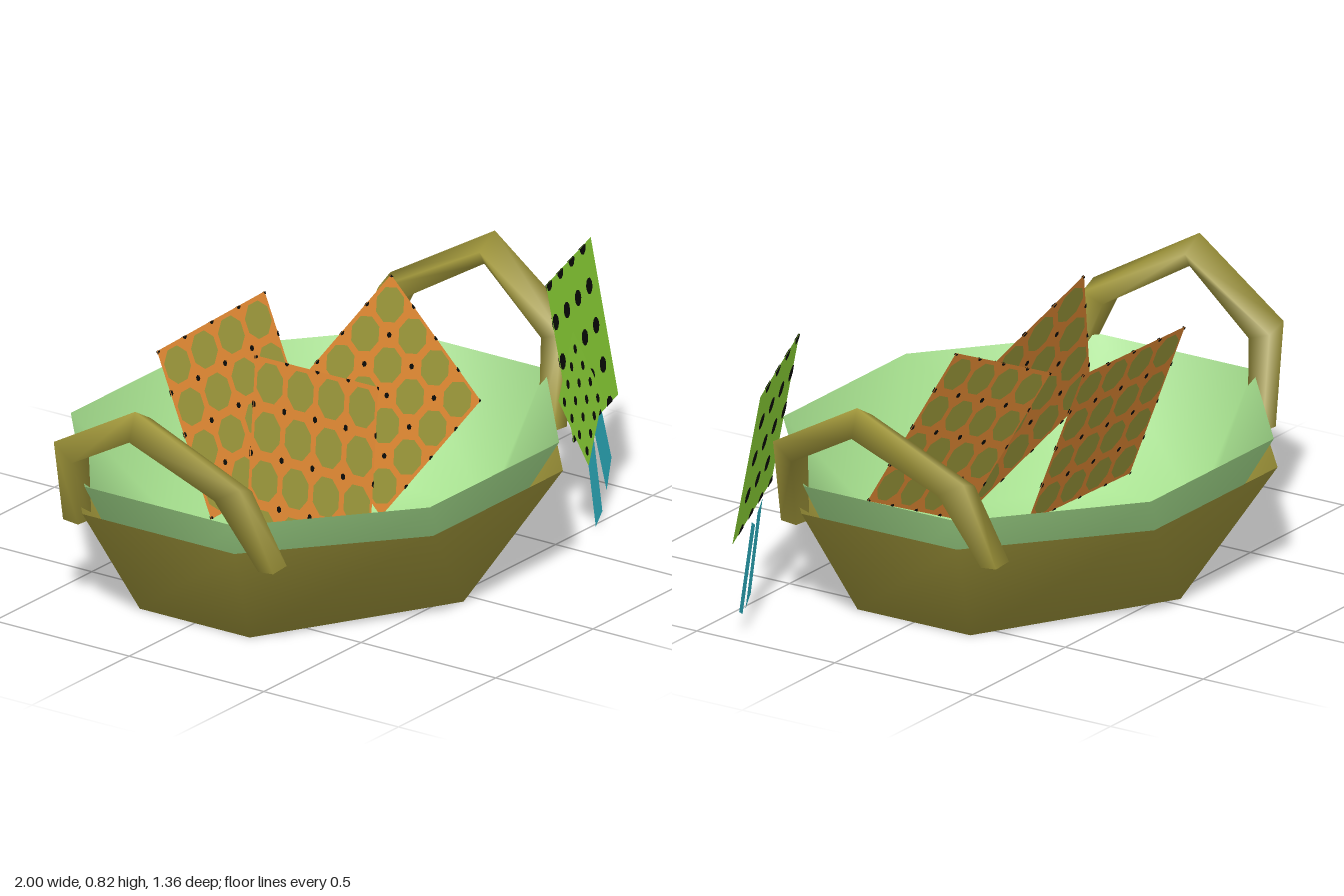
import * as THREE from 'three';
import { mergeGeometries, mergeVertices } from 'three/addons/utils/BufferGeometryUtils.js';

const CX = -0.045; // centre line of the basket

function paint(name, color) {
  const m = new THREE.MeshStandardMaterial({ color, side: THREE.DoubleSide });
  m.name = name;
  return m;
}

const olive = paint('olive wicker', 0xa0963a);
const mint = paint('mint lining', 0xa6e08e);
const orange = paint('orange cloth', 0xec9036);
const moss = paint('moss print', 0x9f9b3c);
const green = paint('green cloth', 0x90da38);
const black = paint('black print', 0x0a0a08);
const teal = paint('teal ribbon', 0x32c0d2);

function part(name, geometry, material) {
  const mesh = new THREE.Mesh(geometry, material);
  mesh.name = name;
  return mesh;
}

// Smooth skin over rows of points, each row a closed loop
function loft(rows) {
  const n = rows[0].length, index = [];
  for (let i = 0; i < rows.length - 1; i++) {
    for (let j = 0; j < n; j++) {
      const k = (j + 1) % n;
      const a = i * n + j, b = i * n + k, c = a + n, d = b + n;
      index.push(a, c, b, b, c, d);
    }
  }
  const g = new THREE.BufferGeometry();
  g.setAttribute('position', new THREE.Float32BufferAttribute(rows.flat(2), 3));
  g.setIndex(index);
  const welded = mergeVertices(g);
  welded.computeVertexNormals();
  return welded;
}

// Eight-point ring; fx and fz set how wide the end and side edges are
function ring(hx, y, hz, fx = 0.414, fz = 0.414) {
  const quarter = [[1, fz], [fx, 1], [-fx, 1], [-1, fz]];
  return [...quarter, ...quarter.map(([x, z]) => [-x, -z])]
    .map(([x, z]) => [CX + x * hx, y, z * hz]);
}

// The base narrows to a point at front and back
const baseRing = (hx, y, hz) => ring(hx, y, hz, 0, 0.37);

// Arched handle: square section swept foot - elbow - apex - elbow - foot
function handle(side) {
  const apex = [[-1, 0.69, 0], [-0.97, 0.78, 0], [-0.89, 0.735, 0], [-0.915, 0.69, 0]];
  const elbow = [[-0.93, 0.54, 0.265], [-0.91, 0.585, 0.345], [-0.84, 0.56, 0.34], [-0.84, 0.535, 0.265]];
  const foot = [[-0.8, 0.285, 0.335], [-0.8, 0.29, 0.39], [-0.73, 0.295, 0.39], [-0.73, 0.28, 0.335]];
  const back = row => row.map(([x, y, z]) => [x, y, -z]);
  const rows = [foot, elbow, apex, back(elbow), back(foot)]
    .map(row => row.map(([x, y, z]) => [side < 0 ? x : 2 * CX - x, y, z]));
  return loft(rows);
}

// Maps the unit square onto the cloth given by three of its corners
function clothMatrix(bl, br, tl) {
  const o = new THREE.Vector3(...bl);
  const u = new THREE.Vector3(...br).sub(o);
  const v = new THREE.Vector3(...tl).sub(o);
  const n = u.clone().cross(v).normalize();
  return new THREE.Matrix4().makeBasis(u, v, n).setPosition(o);
}

// Round spots at [u, v], printed on both faces and trimmed at the cloth edge
function spots(centres, ru, rv, lift, sides = 10) {
  const clip = t => Math.min(1, Math.max(0, t));
  const list = [];
  for (const [u, v] of centres) {
    const pts = Array.from({ length: sides }, (_, i) => {
      const a = (i + 0.5) * 2 * Math.PI / sides;
      return new THREE.Vector2(clip(u + ru * Math.cos(a)), clip(v + rv * Math.sin(a)));
    });
    for (const z of [lift, -lift]) {
      list.push(new THREE.ShapeGeometry(new THREE.Shape(pts)).translate(0, 0, z));
    }
  }
  return mergeGeometries(list);
}

function lattice(nu, nv, u0, v0, du, dv) {
  const out = [];
  for (let i = 0; i < nu; i++) for (let j = 0; j < nv; j++) out.push([u0 + i * du, v0 + j * dv]);
  return out;
}

// A flat piece of cloth with its printed layers
function cloth(name, corners, material, layers = []) {
  const m = clothMatrix(...corners);
  const group = new THREE.Group();
  group.name = name;
  const sheet = new THREE.PlaneGeometry(1, 1).translate(0.5, 0.5, 0);
  group.add(part(name + 'Sheet', sheet.applyMatrix4(m), material));
  for (const [label, geometry, mat] of layers) {
    group.add(part(name + label, geometry.applyMatrix4(m), mat));
  }
  return group;
}

export function createModel() {
  const model = new THREE.Group();
  model.name = 'basket';

  // Basket body and lining
  model.add(part('basketBody', loft([
    ring(0, 0, 0), baseRing(0.618, 0, 0.552), ring(0.805, 0.347, 0.68),
  ]), olive));
  model.add(part('lining', loft([
    ring(0, 0.02, 0), baseRing(0.605, 0.025, 0.54), ring(0.802, 0.436, 0.667),
  ]), mint));

  // Handles
  model.add(part('rightHandle', handle(-1), olive));
  model.add(part('leftHandle', handle(1), olive));

  // Orange cloths in the basket: bottom left, bottom right, top left corners
  const orangeCloths = [
    [[-0.71, 0.3, 0.22], [-0.21, 0.06, 0.315], [-0.42, 0.8, 0.05]],
    [[-0.385, 0.215, -0.14], [0.175, 0.23, -0.145], [-0.4, 0.72, -0.33]],
    [[0.08, 0.145, 0.155], [0.585, 0.36, 0.16], [-0.145, 0.585, -0.015]],
  ];
  orangeCloths.forEach((corners, i) => {
    model.add(cloth('orangeCloth' + (i + 1), corners, orange, [
      ['Print', spots(lattice(4, 4, 0.125, 0.125, 0.25, 0.25), 0.113, 0.108, 0.0015, 8), moss],
      ['Dots', spots(lattice(5, 5, 0, 0, 0.25, 0.25), 0.018, 0.018, 0.003, 6), black],
    ]));
  });

  // Spotted green bow
  model.add(cloth('largeBowCloth', [[0.53, 0.33, 0.545], [0.995, 0.3, 0.375], [0.52, 0.82, 0.45]], green, [
    ['Spots', spots(lattice(4, 5, 0.05, 0, 0.25, 0.25), 0.065, 0.05, 0.002), black],
  ]));
  model.add(cloth('smallBowCloth', [[0.545, 0.26, 0.59], [0.785, 0.385, 0.47], [0.39, 0.52, 0.59]], green, [
    ['Spots', spots(lattice(4, 4, 0.1, 0.12, 0.25, 0.25), 0.05, 0.05, 0.002), black],
  ]));

  // Ribbon tails
  model.add(cloth('innerRibbon', [[0.665, 0.012, 0.53], [0.782, 0.012, 0.47], [0.66, 0.325, 0.49]], teal));
  model.add(cloth('outerRibbon', [[0.88, 0.035, 0.415], [0.995, 0.09, 0.35], [0.775, 0.285, 0.44]], teal));

  return model;
}
